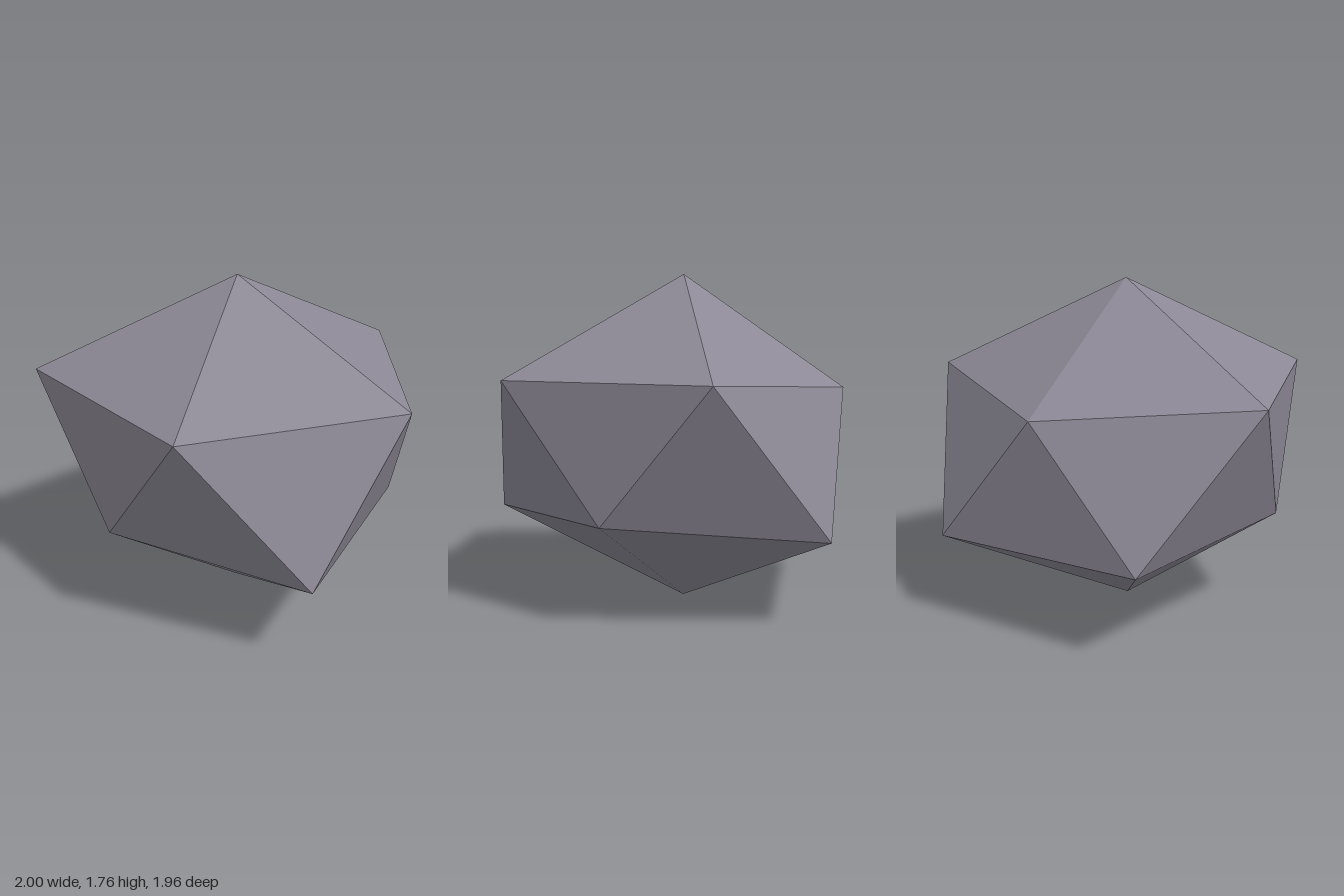
import * as THREE from 'three';

export function createModel() {
  const group = new THREE.Group();
  group.name = 'rock';
  const stone = new THREE.MeshStandardMaterial({ color: 0x8c8895, flatShading: true });
  stone.name = 'stone grey';

  // Irregular twenty-sided boulder: two poles and two staggered rings of five
  const top = [-0.01, 1.76, 0.02];
  const bottom = [-0.01, 0, 0.03];
  const upper = [[-0.83, 1.255, 0.69], [0.39, 1.255, 0.98], [1, 1.23, -0.05], [0.25, 1.255, -0.98], [-0.74, 1.17, -0.42]];
  const lower = [[-0.21, 0.545, 0.82], [0.87, 0.475, 0.56], [0.64, 0.545, -0.51], [-0.4, 0.47, -0.92], [-1, 0.49, 0.09]];

  const points = [];
  const face = (a, b, c) => points.push(...a, ...b, ...c);
  for (let i = 0; i < 5; i++) {
    const j = (i + 1) % 5;
    face(top, upper[i], upper[j]); // crown
    face(upper[i], lower[i], upper[j]); // belt
    face(lower[i], lower[j], upper[j]);
    face(bottom, lower[j], lower[i]); // underside
  }

  const geometry = new THREE.BufferGeometry();
  geometry.setAttribute('position', new THREE.Float32BufferAttribute(points, 3));
  geometry.computeVertexNormals();
  const boulder = new THREE.Mesh(geometry, stone);
  boulder.name = 'boulder';
  group.add(boulder);
  return group;
}
